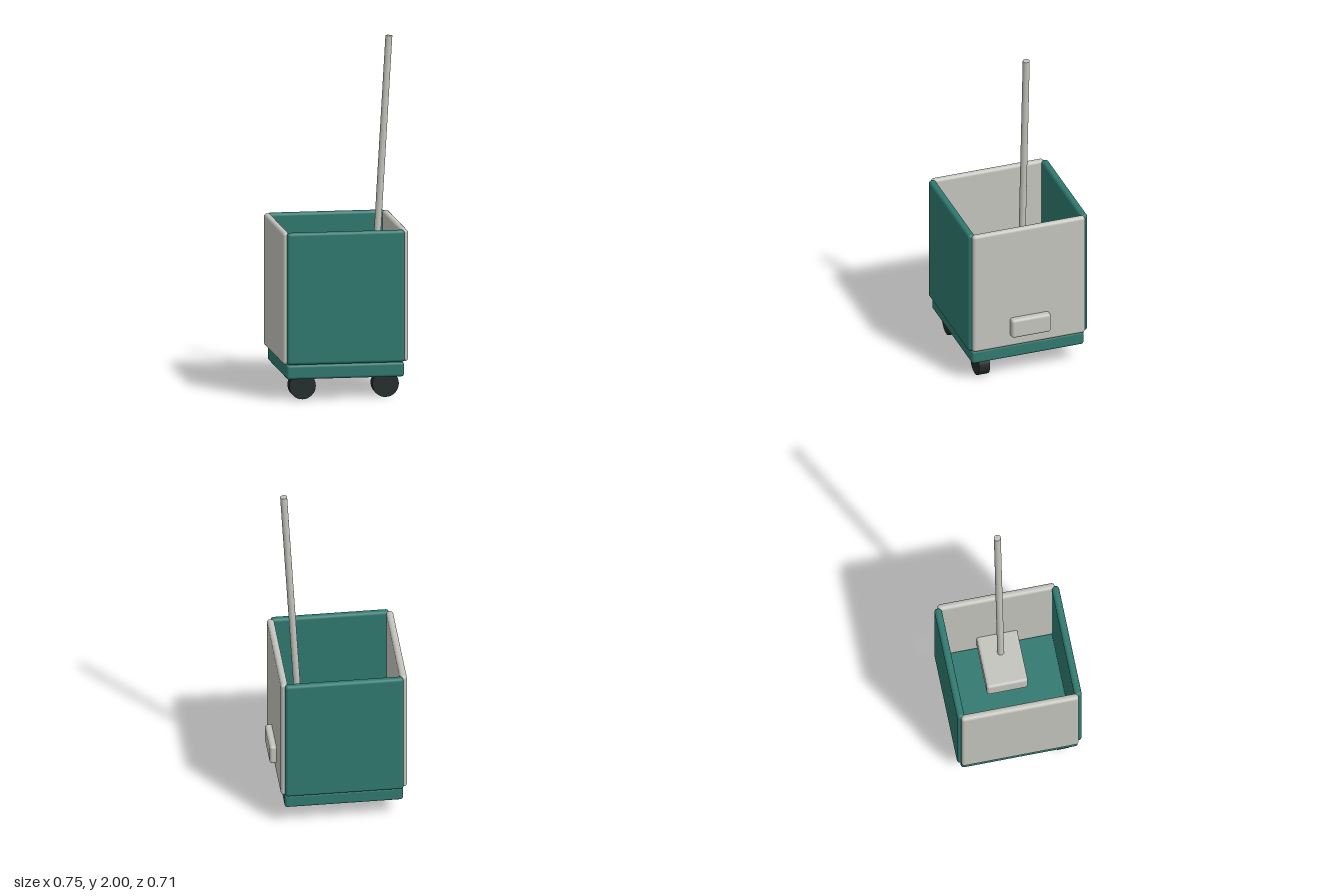
import * as THREE from 'three';
import { RoundedBoxGeometry } from 'three/addons/geometries/RoundedBoxGeometry.js';

export function createModel() {
  const model = new THREE.Group();
  model.name = 'wheeledBin';

  const material = (name, color) => {
    const m = new THREE.MeshStandardMaterial({ color });
    m.name = name;
    return m;
  };
  const teal = material('teal', 0x2f796f);
  const grey = material('lightGrey', 0xc3c4bd);
  const black = material('blackRubber', 0x242c2b);

  const add = (name, geometry, mat, x, y, z) => {
    const mesh = new THREE.Mesh(geometry, mat);
    mesh.name = name;
    mesh.position.set(x, y, z);
    model.add(mesh);
    return mesh;
  };
  const softBox = (w, h, d, r) => new RoundedBoxGeometry(w, h, d, 3, r);

  const cx = -0.02; // the bin sits slightly off centre because the block sticks out

  // Base tray, also the floor of the bin
  add('base', softBox(0.666, 0.083, 0.666, 0.016), teal, cx, 0.162, 0);

  // Four wall panels
  for (const s of [1, -1]) {
    add(s > 0 ? 'frontPanel' : 'backPanel', softBox(0.666, 0.748, 0.042, 0.018), teal, cx, 0.58, s * 0.334);
    add(s > 0 ? 'leftPanel' : 'rightPanel', softBox(0.04, 0.748, 0.668, 0.018), grey, cx + s * 0.335, 0.58, 0);
  }

  // Block passing through the left panel, holding the handle
  add('handleBlock', softBox(0.382, 0.116, 0.233, 0.016), grey, 0.181, 0.333, 0);

  // Leaning handle
  const foot = new THREE.Vector3(0.185, 0.37, 0);
  const tip = new THREE.Vector3(0.28, 1.999, 0);
  const axis = tip.clone().sub(foot);
  const mid = foot.clone().add(tip).multiplyScalar(0.5);
  const handle = add('handle', new THREE.CylinderGeometry(0.0195, 0.0195, axis.length(), 20), grey, mid.x, mid.y, 0);
  handle.quaternion.setFromUnitVectors(new THREE.Vector3(0, 1, 0), axis.normalize());

  // Two wheels under the front edge
  const wheel = new THREE.CylinderGeometry(0.075, 0.075, 0.064, 32).rotateX(Math.PI / 2);
  for (const s of [1, -1]) {
    add(s > 0 ? 'leftWheel' : 'rightWheel', wheel, black, cx + s * 0.235, 0.075, 0.25);
  }

  return model;
}
